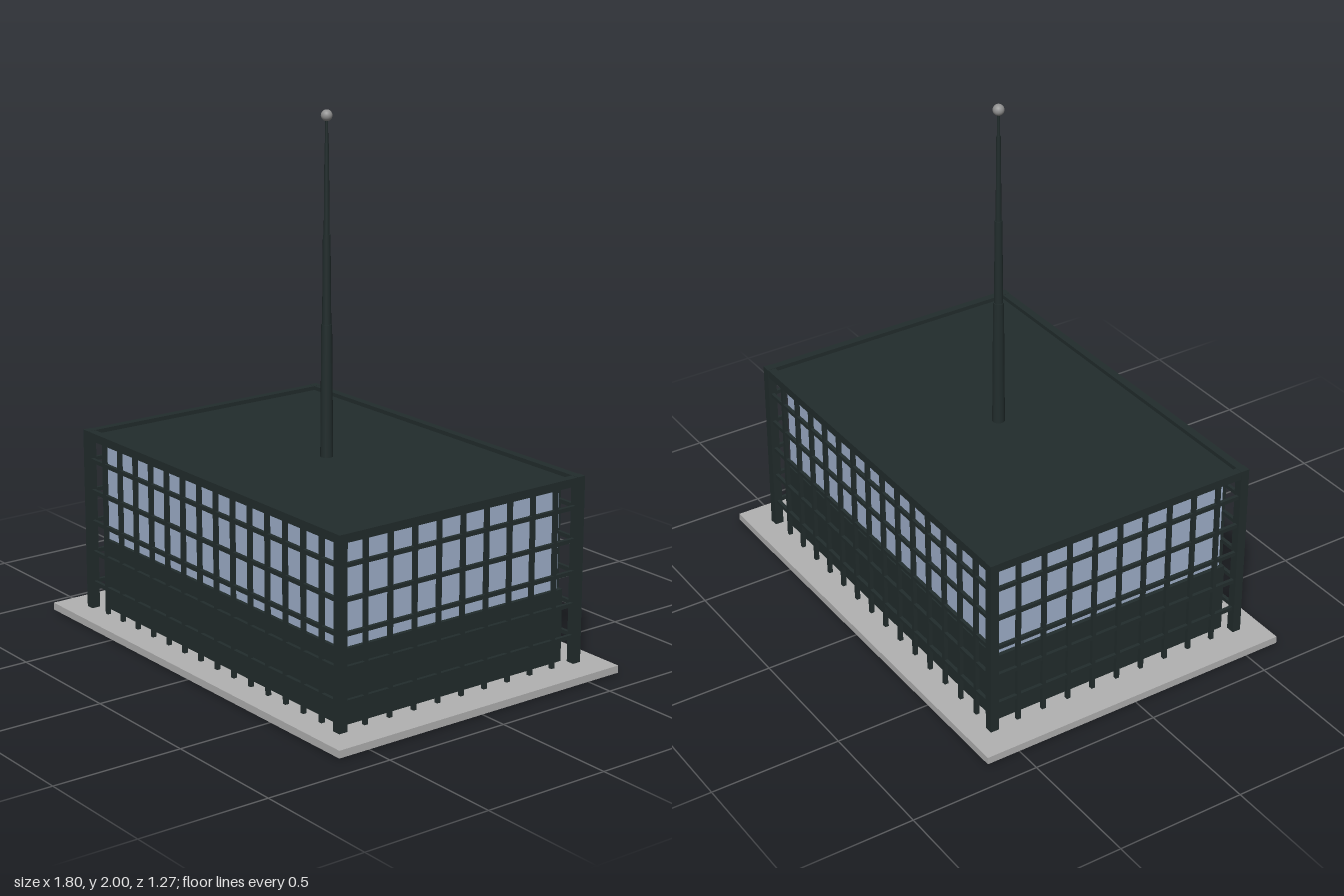
import * as THREE from 'three';

const material = (name, color) => {
  const m = new THREE.MeshStandardMaterial({ color });
  m.name = name;
  return m;
};

export function createModel() {
  const model = new THREE.Group();
  model.name = 'pavilion';
  const steel = material('dark steel', 0x222d2d);
  const glass = material('blue glass', 0xa0b1cc);
  const stone = material('pale stone', 0xb2b2b2);
  const metal = material('grey metal', 0x909090);

  const add = (name, geometry, mat, x = 0, y = 0, z = 0, parent = model) => {
    const mesh = new THREE.Mesh(geometry, mat);
    mesh.name = name;
    mesh.position.set(x, y, z);
    parent.add(mesh);
    return mesh;
  };
  // box given by width, bottom, top and depth
  const block = (name, mat, w, y0, y1, d, x = 0, z = 0, parent = model) =>
    add(name, new THREE.BoxGeometry(w, y1 - y0, d), mat, x, (y0 + y1) / 2, z, parent);

  const FX = 0.773, FZ = 0.533; // centre lines of the outer frame
  const POST = 0.034, BAR = 0.015;

  // plinth
  block('plinth', stone, 1.8, 0.006, 0.034, 1.27);

  // inner storey: dark lower walls, glazed upper walls
  for (const s of [-1, 1]) {
    block('lowerWall', steel, 1.48, 0, 0.31, 0.025, 0, s * 0.4875);
    block('lowerWall', steel, 0.025, 0, 0.31, 0.95, s * 0.7275, 0);
    block('glazing', glass, 1.45, 0.3, 0.708, 0.012, 0, s * 0.481);
    block('glazing', glass, 0.012, 0.3, 0.708, 0.95, s * 0.719, 0);
  }
  block('lowerWallCap', steel, 1.43, 0.295, 0.305, 0.95);

  // roof deck and raised rim
  block('roofDeck', steel, 1.54, 0.704, 0.722, 1.06);
  for (const s of [-1, 1]) {
    block('roofRim', steel, 2 * FX, 0.706, 0.738, 0.03, 0, s * FZ);
    block('roofRim', steel, 0.03, 0.706, 0.738, 2 * FZ, s * FX, 0);
  }

  // outer lattice: corner posts, mullions and rails
  const lattice = new THREE.Group();
  lattice.name = 'lattice';
  model.add(lattice);
  for (const s of [-1, 1]) {
    for (const t of [-1, 1])
      block('cornerPost', steel, POST, 0, 0.739, POST, s * FX, t * FZ, lattice);
    for (let i = 1; i < 15; i++)
      block('mullion', steel, BAR, 0, 0.71, BAR, FX * (2 * i / 15 - 1), s * FZ, lattice);
    for (let i = 1; i < 10; i++)
      block('mullion', steel, BAR, 0, 0.71, BAR, s * FX, FZ * (2 * i / 10 - 1), lattice);
    for (let i = 0; i < 5; i++) {
      const y = 0.135 + i * 0.122;
      block('rail', steel, 2 * FX, y - BAR / 2, y + BAR / 2, 0.013, 0, s * FZ, lattice);
      block('rail', steel, 0.013, y - BAR / 2, y + BAR / 2, 2 * FZ, s * FX, 0, lattice);
    }
  }

  // stepped mast with a ball finial
  const sections = [
    [0.72, 1.22, 0.024, 0.02],
    [1.22, 1.55, 0.017, 0.014],
    [1.55, 1.88, 0.011, 0.008],
    [1.88, 1.97, 0.006, 0.005],
  ];
  for (const [y0, y1, r0, r1] of sections)
    add('mastSection', new THREE.CylinderGeometry(r1, r0, y1 - y0, 16), steel, 0, (y0 + y1) / 2, 0);
  add('finial', new THREE.SphereGeometry(0.021, 20, 14), metal, 0, 1.979, 0);

  return model;
}
